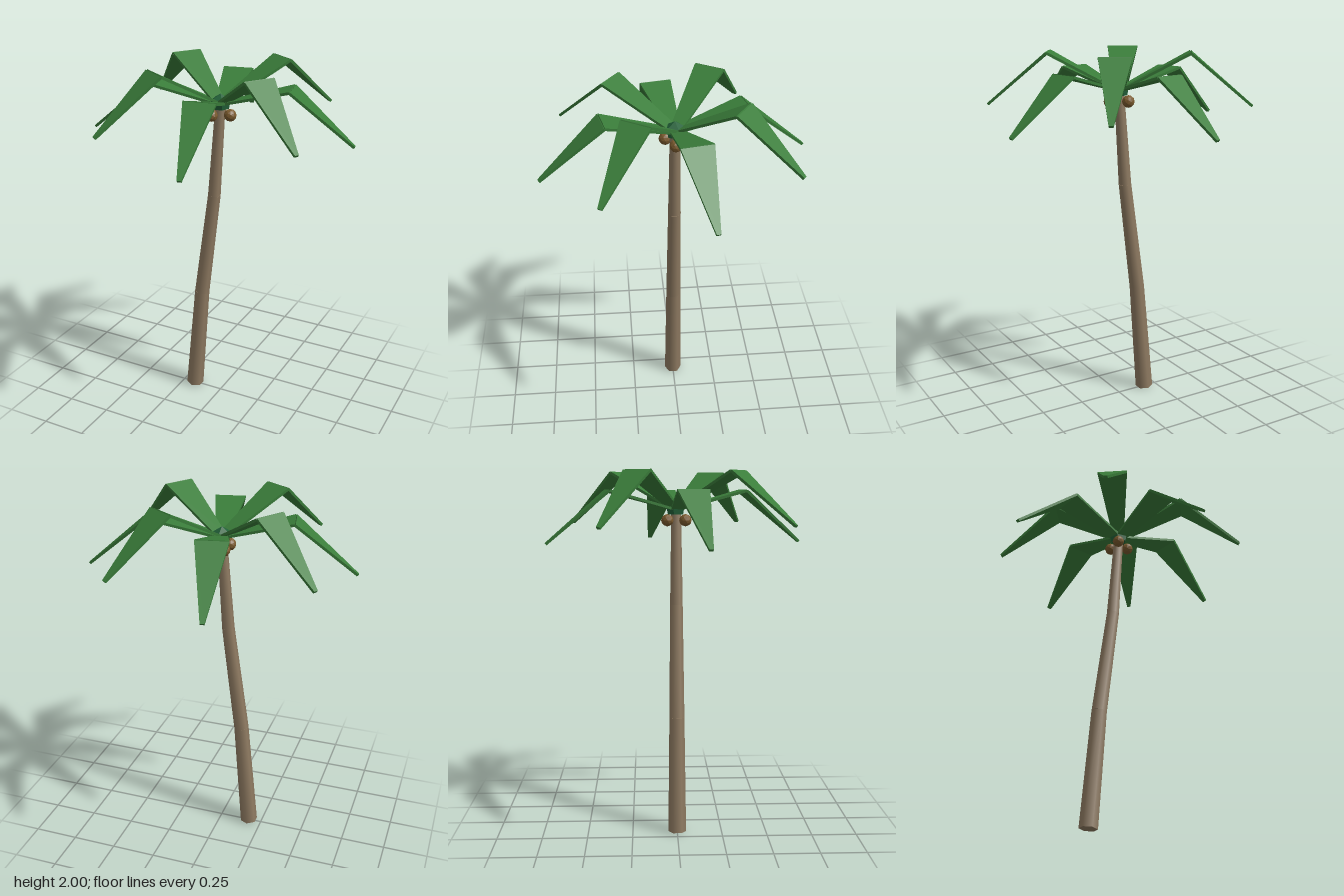
import * as THREE from 'three';

export function createModel() {
  const palm = new THREE.Group();
  palm.name = 'palmTree';

  const mat = (name, color) => {
    const m = new THREE.MeshStandardMaterial({ color });
    m.name = name;
    return m;
  };
  const bark = mat('bark', 0x8f7b62);
  const leaf = mat('leafGreen', 0x3a7d3a);
  const bud = mat('budGreen', 0x226038);
  const husk = mat('huskBrown', 0x7a5a2e);

  const add = (parent, name, geometry, material) => {
    const mesh = new THREE.Mesh(geometry, material);
    mesh.name = name;
    parent.add(mesh);
    return mesh;
  };
  const faceted = (geometry) => {
    const g = geometry.index ? geometry.toNonIndexed() : geometry;
    g.computeVertexNormals();
    return g;
  };

  // Trunk: three tapering six-sided pieces along a bent line [x, y, radius]
  const trunk = new THREE.Group();
  trunk.name = 'trunk';
  palm.add(trunk);
  const joints = [[-0.175, 0.004, 0.05], [-0.12, 0.65, 0.042], [-0.038, 1.27, 0.035], [0, 1.79, 0.027]];
  for (let i = 0; i < 3; i++) {
    const [x0, y0, r0] = joints[i];
    const [x1, y1, r1] = joints[i + 1];
    const piece = add(trunk, 'trunkPiece', new THREE.CylinderGeometry(r1, r0, Math.hypot(x1 - x0, y1 - y0), 6), bark);
    piece.position.set((x0 + x1) / 2, (y0 + y1) / 2, 0);
    piece.rotation.z = -Math.atan2(x1 - x0, y1 - y0);
  }

  // Thin tapered slab between two points [x, y, width] in the frond's own plane
  const slab = ([x0, y0, w0], [x1, y1, w1]) => {
    const length = Math.hypot(x1 - x0, y1 - y0);
    const g = new THREE.BoxGeometry(length, 0.014, 1);
    const p = g.attributes.position;
    for (let i = 0; i < p.count; i++) p.setZ(i, p.getZ(i) * (p.getX(i) < 0 ? w0 : w1));
    g.rotateZ(Math.atan2(y1 - y0, x1 - x0));
    g.translate((x0 + x1) / 2, (y0 + y1) / 2, 0);
    return faceted(g);
  };

  // Fronds: eight around the crown, every second one raised at the elbow
  for (let i = 0; i < 8; i++) {
    const lift = i % 2 ? 0.1 : 0;
    const frond = new THREE.Group();
    frond.name = 'frond';
    const root = [0, 1.79, 0.06];
    const elbow = [0.38, 1.893 + lift, 0.17];
    const tip = [0.715, 1.612 + lift, 0.022];
    add(frond, 'innerBlade', slab(root, elbow), leaf);
    add(frond, 'outerBlade', slab(elbow, tip), leaf);
    frond.rotation.y = THREE.MathUtils.degToRad(11.5 - 45 * i);
    palm.add(frond);
  }

  // Crown bud: five-sided block with a low point
  const profile = [[0, 1.765], [0.045, 1.765], [0.055, 1.812], [0, 1.845]].map(([x, y]) => new THREE.Vector2(x, y));
  const crown = add(palm, 'crownBud', faceted(new THREE.LatheGeometry(profile, 5)), bud);
  crown.rotation.y = Math.PI;

  // Coconuts: three under the crown
  for (let i = 0; i < 3; i++) {
    const a = (i * Math.PI * 2) / 3;
    const nut = add(palm, 'coconut', faceted(new THREE.IcosahedronGeometry(0.034, 1)), husk);
    nut.position.set(Math.cos(a) * 0.057, 1.735, Math.sin(a) * 0.057);
  }

  return palm;
}
